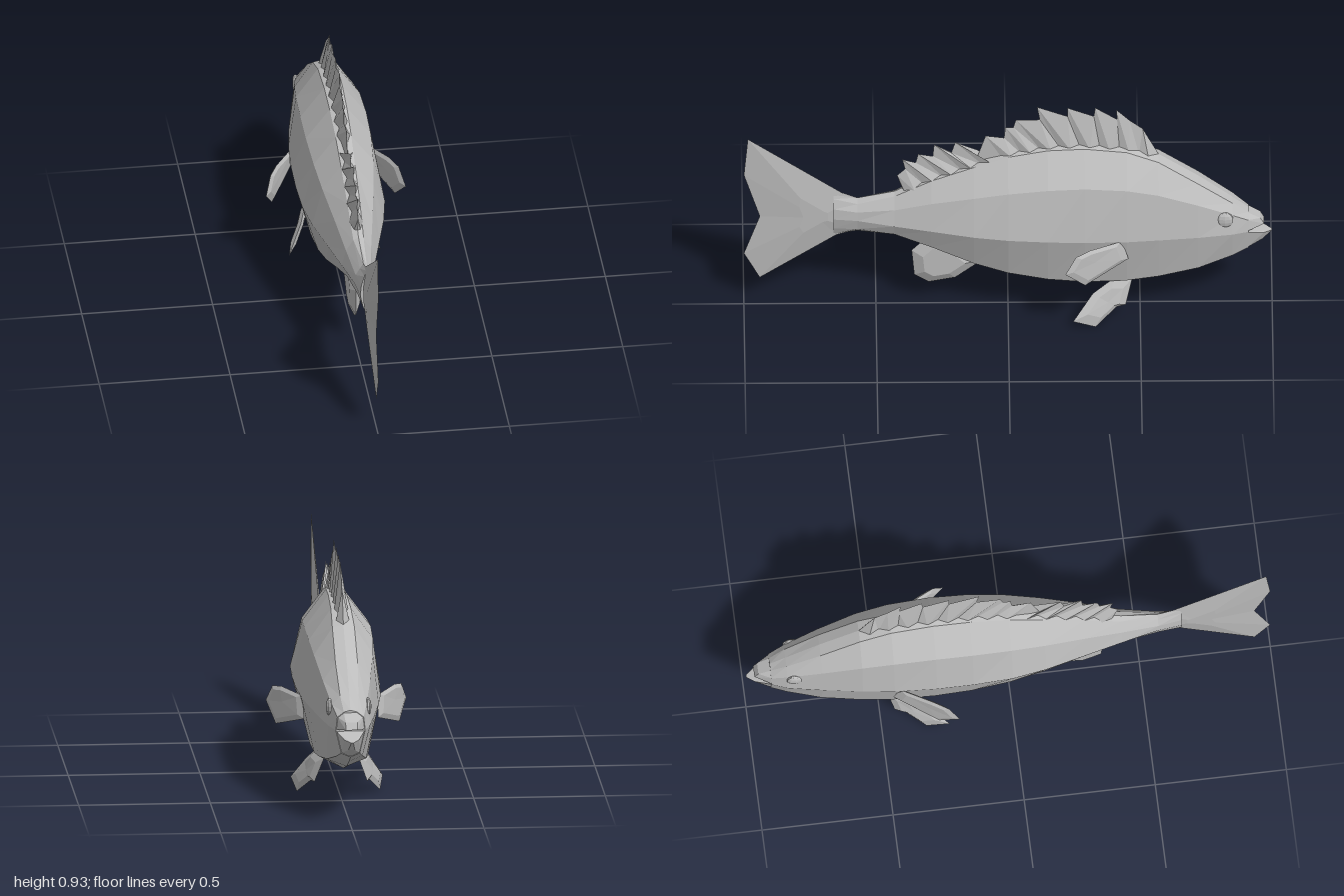
import * as THREE from 'three';
import { ConvexGeometry } from 'three/addons/geometries/ConvexGeometry.js';

const skin = new THREE.MeshStandardMaterial({ color: 0xbcbcbc, flatShading: true });
skin.name = 'grey skin';

// Body cross-sections: z, keel y, low ridge x y, side ridge x y, upper ridge x y, back ridge x y, crest y
const SECTIONS = [
  [-0.91, 0.265, 0.035, 0.28, 0.056, 0.37, 0.05, 0.42, 0.025, 0.44, 0.447],
  [-0.85, 0.235, 0.05, 0.255, 0.08, 0.375, 0.066, 0.455, 0.035, 0.49, 0.495],
  [-0.72, 0.185, 0.075, 0.215, 0.106, 0.38, 0.09, 0.52, 0.042, 0.587, 0.597],
  [-0.57, 0.142, 0.093, 0.19, 0.134, 0.39, 0.112, 0.585, 0.042, 0.69, 0.70],
  [-0.45, 0.12, 0.102, 0.178, 0.151, 0.395, 0.122, 0.615, 0.038, 0.735, 0.745],
  [-0.29, 0.113, 0.106, 0.175, 0.161, 0.40, 0.126, 0.628, 0.035, 0.75, 0.76],
  [-0.15, 0.125, 0.106, 0.188, 0.163, 0.405, 0.124, 0.62, 0.033, 0.742, 0.752],
  [0, 0.152, 0.098, 0.213, 0.158, 0.41, 0.114, 0.597, 0.03, 0.71, 0.72],
  [0.13, 0.197, 0.083, 0.248, 0.137, 0.41, 0.098, 0.565, 0.027, 0.66, 0.668],
  [0.29, 0.292, 0.062, 0.31, 0.098, 0.41, 0.072, 0.522, 0.024, 0.595, 0.603],
  [0.43, 0.34, 0.043, 0.358, 0.064, 0.41, 0.048, 0.475, 0.02, 0.52, 0.53],
  [0.57, 0.345, 0.024, 0.37, 0.034, 0.415, 0.03, 0.452, 0.014, 0.48, 0.50],
  [0.66, 0.33, 0.014, 0.365, 0.024, 0.415, 0.02, 0.46, 0.008, 0.50, 0.525],
];

function geometry(triangles) {
  const g = new THREE.BufferGeometry();
  g.setAttribute('position', new THREE.Float32BufferAttribute(triangles.flat(2), 3));
  g.computeVertexNormals();
  return g;
}

function bodyGeometry() {
  const rings = SECTIONS.map((s) => {
    const side = [2, 4, 6, 8].map((k) => [s[k], s[k + 1], s[0]]);
    const other = side.map(([x, y, z]) => [-x, y, z]).reverse();
    return [[0, s[1], s[0]], ...side, [0, s[10], s[0]], ...other];
  });
  const n = rings[0].length, tris = [];
  for (let i = 0; i < rings.length - 1; i++) {
    for (let j = 0; j < n; j++) {
      const k = (j + 1) % n;
      const [a, b, c, d] = [rings[i][j], rings[i][k], rings[i + 1][k], rings[i + 1][j]];
      tris.push([a, b, d], [b, c, d]);
    }
  }
  // Close both ends
  const first = rings[0], last = rings[rings.length - 1];
  for (let j = 1; j < n - 1; j++) {
    tris.push([first[0], first[j + 1], first[j]], [last[0], last[j], last[j + 1]]);
  }
  return geometry(tris);
}

// Bevelled fin: thin outline edge, raised inner face on both sides
function finGeometry(outline, thickness, inner = 0.6, centre = null) {
  const p = outline.map((q) => new THREE.Vector3(...q));
  const c = centre ? new THREE.Vector3(...centre)
    : p.reduce((s, v) => s.add(v), new THREE.Vector3()).divideScalar(p.length);
  const normal = new THREE.Vector3();
  p.forEach((v, i) => {
    const w = p[(i + 1) % p.length];
    normal.add(v.clone().sub(c).cross(w.clone().sub(c)));
  });
  normal.normalize();
  const tris = [];
  for (const s of [1, -1]) {
    const lift = normal.clone().multiplyScalar(s * thickness / 2);
    const mid = c.clone().add(lift);
    const face = p.map((v) => c.clone().lerp(v, inner).add(lift));
    p.forEach((v, i) => {
      const k = (i + 1) % p.length;
      const set = [[mid, face[i], face[k]], [face[i], v, p[k]], [face[i], p[k], face[k]]];
      set.forEach((t) => tris.push((s > 0 ? t : t.reverse()).map((q) => q.toArray())));
    });
  }
  return geometry(tris);
}

function crestAt(z) {
  const i = Math.max(1, SECTIONS.findIndex((s) => s[0] >= z));
  const a = SECTIONS[i - 1], b = SECTIONS[i];
  return THREE.MathUtils.lerp(a[10], b[10], (z - a[0]) / (b[0] - a[0]));
}

// Pleated dorsal fin: spine tips alternate with notches, each as z y
function dorsalGeometry() {
  const edge = [
    [-0.57, 0.70], [-0.51, 0.82], [-0.46, 0.86], [-0.41, 0.91], [-0.42, 0.86], [-0.33, 0.92],
    [-0.325, 0.88], [-0.225, 0.92], [-0.225, 0.88], [-0.11, 0.925], [-0.12, 0.865], [-0.03, 0.865],
    [-0.02, 0.83], [0.01, 0.83], [0.015, 0.78], [0.085, 0.79], [0.12, 0.68], [0.2, 0.76],
    [0.215, 0.71], [0.28, 0.75], [0.285, 0.695], [0.34, 0.705], [0.35, 0.665], [0.4, 0.68],
    [0.39, 0.635], [0.42, 0.605], [0.40, 0.54],
  ];
  const stations = edge.map(([z, y], i) => {
    const bz = -0.57 + 0.96 * i / (edge.length - 1);
    const w = i % 2 ? 0.028 : 0.014;
    return { tip: [0, y, z], base: [w, crestAt(bz) - 0.02, bz] };
  });
  const flip = ([x, y, z]) => [-x, y, z];
  const tris = [];
  for (let i = 0; i < stations.length - 1; i++) {
    const a = stations[i], b = stations[i + 1];
    for (const t of [[a.base, a.tip, b.base], [a.tip, b.tip, b.base]]) {
      tris.push(t, t.map(flip).reverse());
    }
  }
  return geometry(tris);
}

export function createModel() {
  const fish = new THREE.Group();
  fish.name = 'fish';
  const add = (name, geo) => {
    const mesh = new THREE.Mesh(geo, skin);
    mesh.name = name;
    fish.add(mesh);
    return mesh;
  };
  const hull = (half) => new ConvexGeometry(
    half.flatMap(([x, y, z]) => [new THREE.Vector3(x, y, z), new THREE.Vector3(-x, y, z)]));

  add('body', bodyGeometry());

  // Slightly open mouth
  add('upperJaw', hull([[0.056, 0.372, -0.905], [0.05, 0.42, -0.905], [0.025, 0.44, -0.905],
    [0.022, 0.383, -0.97], [0.022, 0.41, -0.955]]));
  add('lowerJaw', hull([[0.055, 0.367, -0.905], [0.035, 0.28, -0.905], [0.005, 0.265, -0.905],
    [0.004, 0.34, -1], [0.028, 0.346, -0.97], [0.012, 0.305, -0.965]]));

  // Upright fins on the centre line
  add('dorsalFin', dorsalGeometry());
  add('tailFin', finGeometry([[0, 0.50, 0.57], [0, 0.525, 0.63], [0, 0.78, 0.985], [0, 0.61, 1],
    [0, 0.415, 0.94], [0, 0.24, 1], [0, 0.125, 0.94], [0, 0.325, 0.65], [0, 0.35, 0.57]],
  0.03, 0.25, [0, 0.42, 0.72]));
  add('analFin', finGeometry([[0, 0.32, 0.30], [0, 0.25, 0.365], [0, 0.135, 0.355],
    [0, 0.10, 0.30], [0, 0.12, 0.20], [0, 0.20, 0.10], [0, 0.28, 0.18]], 0.04));

  // Paired fins and eyes
  const pectoral = [[0.145, 0.395, -0.43], [0.14, 0.31, -0.455], [0.235, 0.255, -0.29],
    [0.267, 0.33, -0.215], [0.245, 0.395, -0.255], [0.215, 0.405, -0.31]];
  const pelvic = [[0.09, 0.18, -0.40], [0.065, 0.16, -0.47], [0.10, 0.062, -0.445],
    [0.112, 0.06, -0.41], [0.158, 0.0, -0.33], [0.175, 0.038, -0.245], [0.12, 0.13, -0.32]];
  for (const [side, s] of [['left', 1], ['right', -1]]) {
    const mirror = (pts) => pts.map(([x, y, z]) => [s * x, y, z]);
    add(side + 'PectoralFin', finGeometry(mirror(pectoral), 0.016, 0.75));
    add(side + 'PelvicFin', finGeometry(mirror(pelvic), 0.022));
    const eye = add(side + 'Eye', new THREE.SphereGeometry(0.034, 10, 7));
    eye.scale.x = 0.4;
    eye.position.set(s * 0.073, 0.44, -0.82);
  }
  return fish;
}
